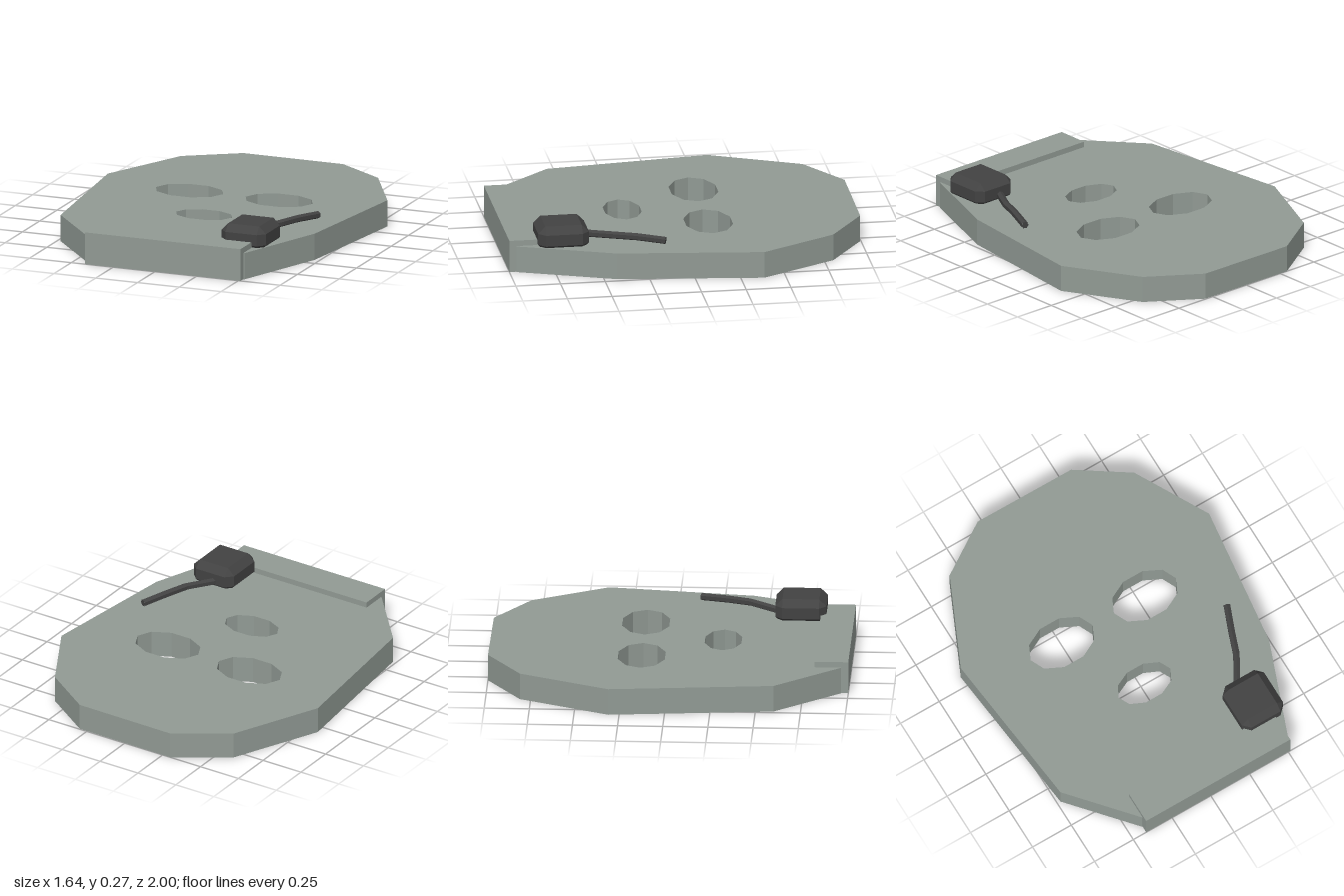
import * as THREE from 'three';
import { ConvexGeometry } from 'three/addons/geometries/ConvexGeometry.js';

const shell = new THREE.MeshStandardMaterial({ color: 0x919a94, flatShading: true });
shell.name = 'grey green';
const dark = new THREE.MeshStandardMaterial({ color: 0x424242, flatShading: true });
dark.name = 'charcoal';

function addMesh(parent, name, geometry, material) {
  const mesh = new THREE.Mesh(geometry, material);
  mesh.name = name;
  parent.add(mesh);
  return mesh;
}

// Ten-sided oval opening, given in plan (x, z)
function ovalHole(cx, cz, rx, rz) {
  const points = [];
  for (let i = 0; i < 10; i++) {
    const a = (i / 10) * Math.PI * 2;
    points.push(new THREE.Vector2(cx + rx * Math.cos(a), -cz + rz * Math.sin(a)));
  }
  return new THREE.Path(points);
}

// Box with every edge chamfered by c
function chamferBox(w, h, d, c) {
  const points = [];
  for (const sx of [-1, 1]) for (const sy of [-1, 1]) for (const sz of [-1, 1]) {
    const x = w / 2, y = h / 2, z = d / 2;
    points.push(
      new THREE.Vector3(sx * x, sy * (y - c), sz * (z - c)),
      new THREE.Vector3(sx * (x - c), sy * y, sz * (z - c)),
      new THREE.Vector3(sx * (x - c), sy * (y - c), sz * z));
  }
  return new ConvexGeometry(points);
}

export function createModel() {
  const model = new THREE.Group();
  model.name = 'mask';

  // Face plate: slightly uneven outline with eye and mouth openings
  const outline = [
    [-0.3, -1], [0.3, -0.995], [0.59, -0.8], [0.82, -0.38], [0.72, 0.43],
    [0.52, 0.96], [-0.42, 0.96], [-0.73, 0.6], [-0.825, -0.31], [-0.595, -0.81],
  ].map(([x, z]) => new THREE.Vector2(x, -z));
  const face = new THREE.Shape(outline);
  face.holes.push(
    ovalHole(-0.27, -0.15, 0.2, 0.137),
    ovalHole(0.267, -0.15, 0.2, 0.137),
    ovalHole(0, 0.29, 0.167, 0.107));
  const plate = new THREE.ExtrudeGeometry(face, { depth: 0.15, bevelEnabled: false });
  plate.rotateX(-Math.PI / 2);
  addMesh(model, 'facePlate', plate, shell);

  // Raised chin bar
  const chin = addMesh(model, 'chinBar', new THREE.BoxGeometry(0.93, 0.182, 0.187), shell);
  chin.position.set(0.048, 0.091, 0.9065);

  // Side device: chamfered pod sunk a little into the plate
  const device = new THREE.Group();
  device.name = 'sideDevice';
  model.add(device);
  const pod = addMesh(device, 'pod', chamferBox(0.266, 0.144, 0.284, 0.04), dark);
  pod.position.set(0.451, 0.194, 0.702);

  // Bent stalk leading back from the pod, with a closed tip
  const path = new THREE.CurvePath();
  const bends = [[0.41, 0.175, 0.6], [0.515, 0.187, 0.42], [0.562, 0.186, 0.29], [0.621, 0.177, 0.142]]
    .map((p) => new THREE.Vector3(...p));
  for (let i = 1; i < bends.length; i++) path.add(new THREE.LineCurve3(bends[i - 1], bends[i]));
  addMesh(device, 'stalk', new THREE.TubeGeometry(path, 12, 0.021, 6), dark);
  const tip = addMesh(device, 'stalkTip', new THREE.CircleGeometry(0.021, 6), dark);
  tip.position.copy(bends[3]);
  tip.lookAt(bends[3].clone().multiplyScalar(2).sub(bends[2]));

  return model;
}
